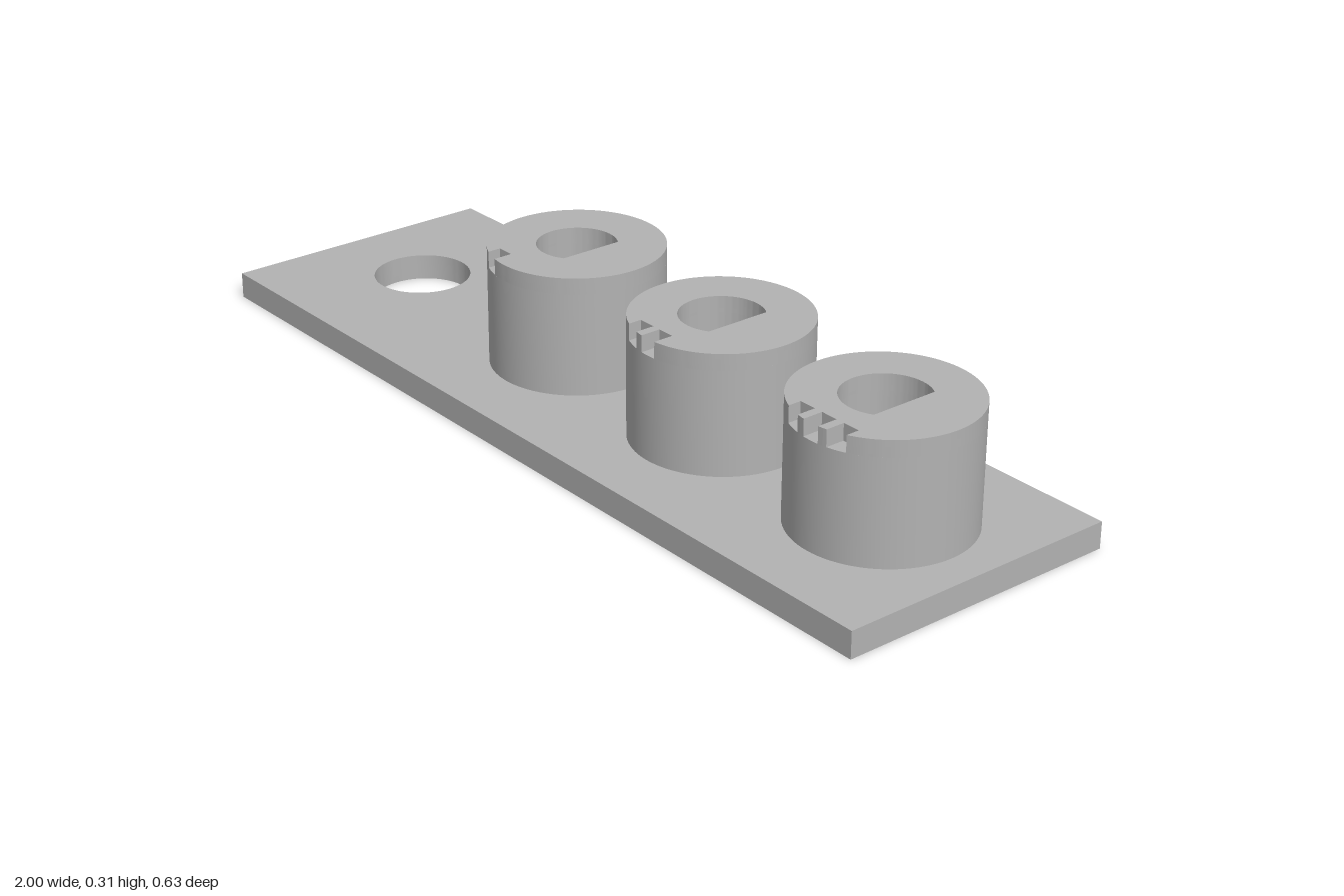
import * as THREE from 'three';
import { toCreasedNormals } from 'three/addons/utils/BufferGeometryUtils.js';

const PLATE_H = 0.057, NOTCH_Y = 0.28, TOP = 0.315;
const R = 0.185, NOTCH_HALF = 0.019, NOTCH_IN = 0.14, FLAT = 0.047;

// Upright extrusion of a plan outline (shape y points to the back)
function slab(shape, y0, y1) {
  const g = new THREE.ExtrudeGeometry(shape, { depth: y1 - y0, bevelEnabled: false, curveSegments: 40 });
  g.rotateX(-Math.PI / 2).translate(0, y0, 0);
  return toCreasedNormals(g, 0.5);
}

// Circle outline with square notches cut into the front edge
function postOutline(notches, boreRadius) {
  const s = new THREE.Shape();
  const angleAt = x => -Math.acos(x / R);
  let from = -Math.PI;
  for (const o of notches) {
    const a = o - NOTCH_HALF, b = o + NOTCH_HALF;
    s.absarc(0, 0, R, from, angleAt(a), false);
    s.lineTo(a, -NOTCH_IN);
    s.lineTo(b, -NOTCH_IN);
    from = angleAt(b);
  }
  s.absarc(0, 0, R, from, Math.PI, false);

  // D-shaped shaft bore, flat towards +x
  const t = Math.acos(FLAT / boreRadius);
  const bore = new THREE.Path();
  bore.absarc(0, 0, boreRadius, t, 2 * Math.PI - t, false);
  bore.closePath();
  s.holes.push(bore);
  return s;
}

export function createModel() {
  const model = new THREE.Group();
  const grey = new THREE.MeshStandardMaterial({ color: 0xb2b2b2 });
  grey.name = 'grey plastic';
  const add = (parent, name, geometry) => {
    const m = new THREE.Mesh(geometry, grey);
    m.name = name;
    parent.add(m);
  };

  // Base plate with a hanging hole
  const plate = new THREE.Shape();
  plate.moveTo(-1, -0.315);
  plate.lineTo(1, -0.315);
  plate.lineTo(1, 0.315);
  plate.lineTo(-1, 0.315);
  plate.closePath();
  const hole = new THREE.Path();
  hole.absarc(-0.745, 0, 0.107, 0, Math.PI * 2, true);
  plate.holes.push(hole);
  add(model, 'basePlate', slab(plate, 0, PLATE_H));

  // Three gauge posts, marked with one, two and three notches
  const boreRadii = [0.084, 0.0865, 0.089];
  boreRadii.forEach((r, i) => {
    const post = new THREE.Group();
    post.name = 'gaugePost' + (i + 1);
    post.position.x = -0.175 + i * 0.458;
    const notches = [-0.057, 0, 0.057].slice(0, i + 1);
    add(post, 'postBody', slab(postOutline([], r), PLATE_H, NOTCH_Y));
    add(post, 'notchedRim', slab(postOutline(notches, r), NOTCH_Y, TOP));
    model.add(post);
  });
  return model;
}
